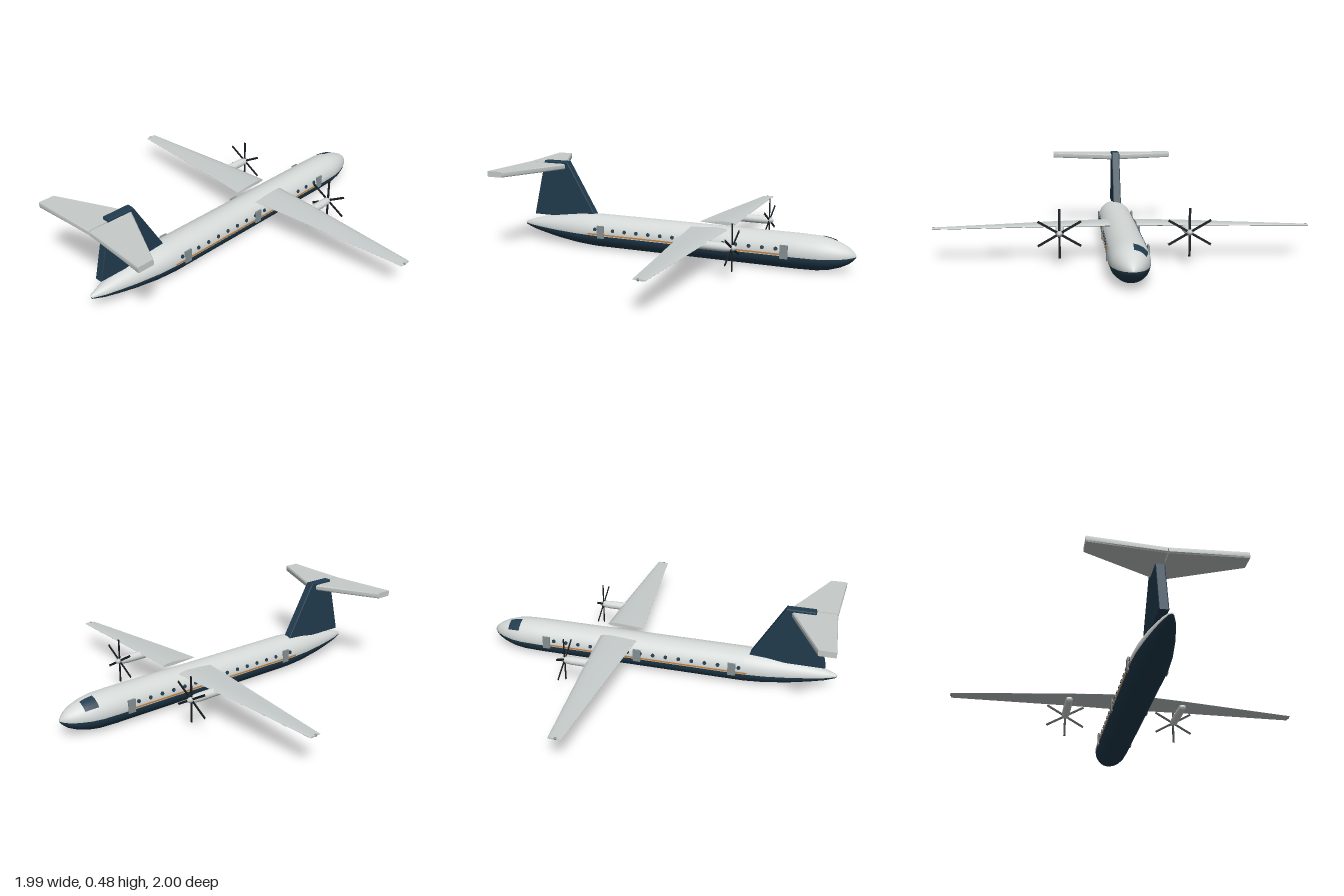
import * as THREE from 'three';
import { toCreasedNormals } from 'three/addons/utils/BufferGeometryUtils.js';

const mat = (name, color, side = THREE.FrontSide) => {
  const m = new THREE.MeshStandardMaterial({ color, side });
  m.name = name;
  return m;
};

export function createModel() {
  const white = mat('paleHull', 0xd4d9d8);
  const wingGrey = mat('wingGrey', 0xc6cccb);
  const navy = mat('navy', 0x213c4e, THREE.DoubleSide);
  const black = mat('bladeBlack', 0x1b1f22);
  const orange = mat('orange', 0xc8823c);
  const doorGrey = mat('doorGrey', 0x869194);

  const model = new THREE.Group();
  model.name = 'turbopropAirliner';
  const add = (name, geo, material, x = 0, y = 0, z = 0, parent = model) => {
    const m = new THREE.Mesh(geo, material);
    m.name = name;
    m.position.set(x, y, z);
    parent.add(m);
    return m;
  };

  // Lathe around z; profile is [z, radius], angle 0 points down
  const turned = (profile, segs, start = 0, length = Math.PI * 2) =>
    new THREE.LatheGeometry(profile.map(([z, r]) => new THREE.Vector2(r, z)), segs, start, length)
      .rotateX(Math.PI / 2);

  // Fuselage: pale upper shell and navy belly
  const midY = 0.096, wide = 1.05;
  const hull = [[-1, 0], [-0.993, 0.014], [-0.98, 0.028], [-0.96, 0.044], [-0.92, 0.064], [-0.86, 0.083],
    [-0.8, 0.092], [-0.7, 0.095], [0.5, 0.095], [0.62, 0.087], [0.75, 0.069], [0.85, 0.05],
    [0.93, 0.032], [0.99, 0.012], [1, 0]];
  const split = 1.444;
  add('upperFuselage', turned(hull, 36, split, Math.PI * 2 - 2 * split).scale(wide, 1, 1), white, 0, midY);
  add('belly', turned(hull, 28, -split, 2 * split).scale(wide, 1, 1), navy, 0, midY);

  // Cockpit window: thin curved panel lying on the nose
  const pane = [[-0.89, 0.0775], [-0.86, 0.0865], [-0.818, 0.0925]];
  add('cockpitWindow', turned(pane, 8, Math.PI + 0.12, 0.85).scale(wide, 1, 1), navy, 0, midY);

  // Loft between two [x, y, leading z, trailing z, half thickness] stations
  const loft = (profile, stations, s) => {
    const n = profile.length, pos = [], idx = [];
    const tri = (a, b, c) => (s > 0 ? idx.push(a, b, c) : idx.push(a, c, b));
    for (const [x, y, z0, z1, h] of stations)
      for (const [t, v] of profile) pos.push(s * x, y + v * h, z0 + (z1 - z0) * t);
    const last = (stations.length - 1) * n;
    for (let k = 0; k < last; k += n)
      for (let i = 0; i < n; i++) {
        const j = (i + 1) % n;
        tri(k + i, k + j, k + n + i);
        tri(k + j, k + n + j, k + n + i);
      }
    for (let i = 1; i < n - 1; i++) {
      tri(0, i + 1, i);
      tri(last, last + i, last + i + 1);
    }
    const g = new THREE.BufferGeometry();
    g.setAttribute('position', new THREE.Float32BufferAttribute(pos, 3));
    g.setIndex(idx);
    return toCreasedNormals(g, 0.6);
  };
  const airfoil = [[0, 0], [0.03, 0.5], [0.12, 0.85], [0.3, 1], [0.65, 0.6], [1, 0.05],
    [1, -0.05], [0.65, -0.4], [0.3, -0.7], [0.12, -0.6], [0.03, -0.35]];
  const slab = [[0, 0.6], [0.03, 1], [0.97, 1], [1, 0.6], [1, -0.6], [0.97, -1], [0.03, -1], [0, -0.6]];

  const nacelle = [[-0.44, 0.014], [-0.425, 0.02], [-0.39, 0.023], [-0.28, 0.023], [-0.18, 0.019], [-0.17, 0]];
  const spinner = [[-0.462, 0], [-0.458, 0.008], [-0.448, 0.014], [-0.43, 0.016], [-0.425, 0]];

  for (const s of [1, -1]) {
    const side = s > 0 ? 'left' : 'right';

    // Wing, tip light and tailplane
    add(side + 'Wing', loft(airfoil, [
      [0.07, 0.186, -0.32, -0.108, 0.012],
      [0.33, 0.183, -0.307, -0.135, 0.01],
      [0.992, 0.166, -0.268, -0.202, 0.005]], s), wingGrey);
    add(side + 'TipLight', new THREE.SphereGeometry(0.007, 10, 8), doorGrey, s * 0.989, 0.167, -0.23);
    add(side + 'Tailplane', loft(slab, [
      [0.003, 0.456, 0.712, 0.963, 0.016],
      [0.385, 0.456, 0.895, 0.985, 0.016]], s), wingGrey);

    // Engine with six-bladed propeller
    const engine = new THREE.Group();
    engine.name = side + 'Engine';
    engine.position.set(s * 0.33, 0.167, 0);
    model.add(engine);
    add('nacelle', turned(nacelle, 20), white, 0, 0, 0, engine);
    add('spinner', turned(spinner, 16), wingGrey, 0, 0, 0, engine);
    for (let i = 0; i < 6; i++) {
      const blade = new THREE.BoxGeometry(0.012, 0.113, 0.004).translate(0, 0.069, 0);
      add('propellerBlade', blade, black, 0, 0, -0.436, engine).rotation.z = i * Math.PI / 3;
    }

    // Doors, stripe and cabin windows
    for (const z of [0.437, -0.1, -0.64])
      add(side + 'Door', new THREE.BoxGeometry(0.009, 0.073, 0.043), doorGrey, s * 0.0995, 0.108, z);
    add(side + 'Stripe', new THREE.BoxGeometry(0.004, 0.008, 1.14), orange, s * 0.0995, 0.093, -0.05);
    const windowZ = [0.475];
    for (let k = 0; k < 14; k++) windowZ.push(0.36 - 0.0735 * k);
    const windowGeo = new THREE.CylinderGeometry(0.0105, 0.0105, 0.006, 14).rotateZ(Math.PI / 2);
    for (const z of windowZ) {
      const w = add(side + 'Window', windowGeo, navy, s * 0.0965, 0.121, z);
      w.rotation.z = s * 0.26;
    }
  }

  // Tail fin, bevelled slab
  const finShape = new THREE.Shape();
  finShape.moveTo(0.924, 0.161);
  finShape.lineTo(0.847, 0.479);
  finShape.lineTo(0.703, 0.479);
  finShape.lineTo(0.515, 0.161);
  finShape.closePath();
  const fin = new THREE.ExtrudeGeometry(finShape, {
    depth: 0.036, bevelEnabled: true, bevelSize: 0.006, bevelThickness: 0.006, bevelSegments: 3,
  }).rotateY(-Math.PI / 2);
  add('tailFin', fin, navy, 0.001, 0, 0);

  return model;
}
